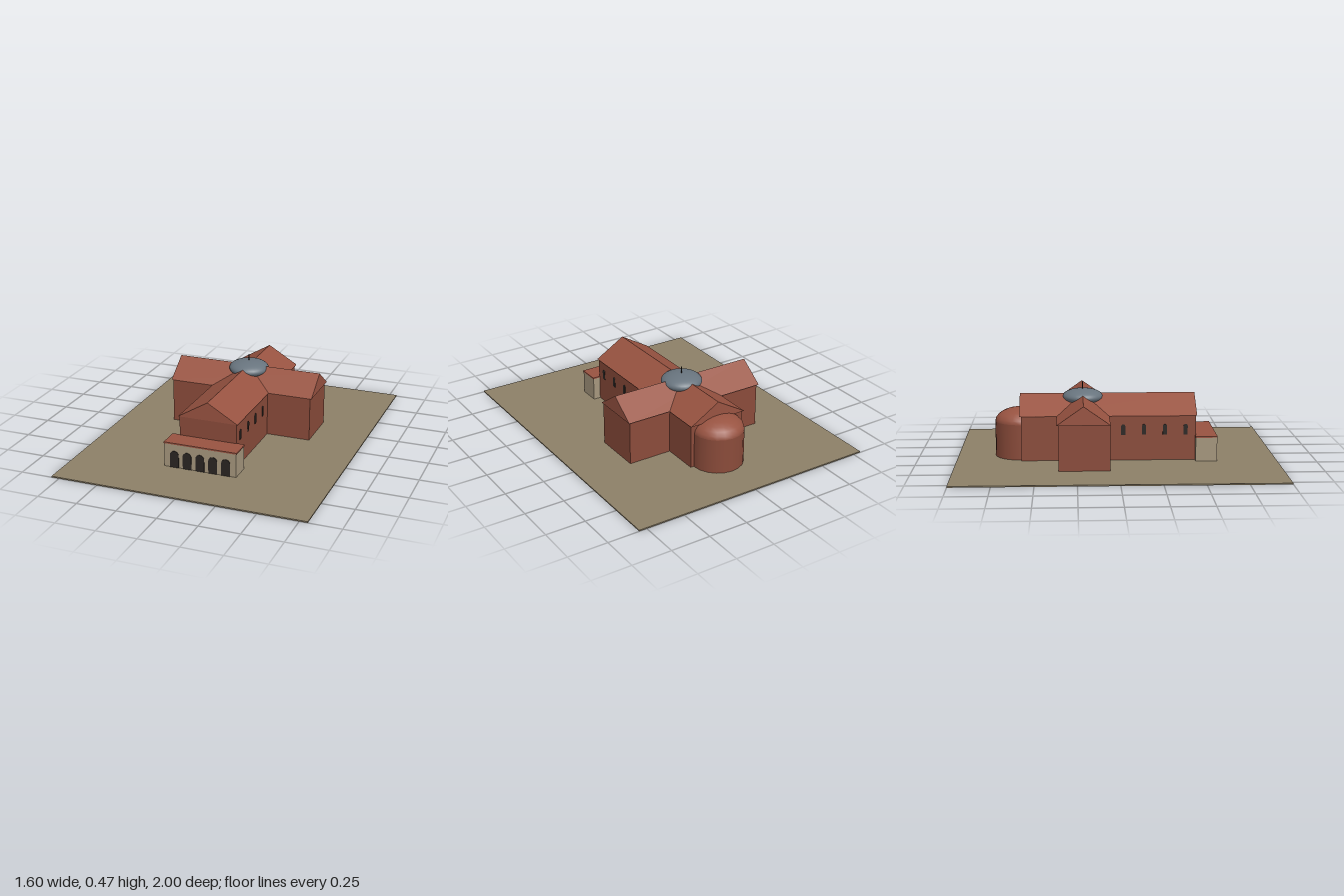
import * as THREE from 'three';

const mat = (color, extra = {}) => new THREE.MeshStandardMaterial({ color, ...extra });

export function createModel() {
  const model = new THREE.Group();
  const brick = mat(0x8a4b3a), tile = mat(0x985341), stone = mat(0xa5967d);
  const earth = mat(0x8c7f67), lead = mat(0x68747e), dark = mat(0x2a2522);

  const add = (name, geometry, material, x = 0, y = 0, z = 0, parent = model) => {
    const mesh = new THREE.Mesh(geometry, material);
    mesh.name = name;
    mesh.position.set(x, y, z);
    parent.add(mesh);
    return mesh;
  };
  // Box given by its base height and top height
  const block = (name, material, w, d, y0, y1, x, z) =>
    add(name, new THREE.BoxGeometry(w, y1 - y0, d), material, x, (y0 + y1) / 2, z);

  // Solid gable roof with its ridge along z
  const gable = (halfWidth, rise, length) => {
    const s = new THREE.Shape();
    s.moveTo(-halfWidth, 0);
    s.lineTo(halfWidth, 0);
    s.lineTo(0, rise);
    s.closePath();
    return new THREE.ExtrudeGeometry(s, { depth: length, bevelEnabled: false })
      .translate(0, 0, -length / 2);
  };

  // Round-headed panel standing on y = 0
  const arch = (w, h, depth) => {
    const r = w / 2, s = new THREE.Shape();
    s.moveTo(-r, 0);
    s.lineTo(r, 0);
    s.lineTo(r, h - r);
    s.absarc(0, h - r, r, 0, Math.PI, false);
    s.closePath();
    return new THREE.ExtrudeGeometry(s, { depth, bevelEnabled: false, curveSegments: 10 })
      .translate(0, 0, -depth / 2);
  };

  const crossingZ = -0.21;
  block('ground', earth, 1.6, 2, 0, 0.008, 0, 0);

  // Nave and transept
  block('naveWalls', brick, 0.37, 1.09, 0.004, 0.288, 0, -0.05);
  block('transeptWalls', brick, 0.936, 0.312, 0.004, 0.29, 0, crossingZ + 0.004);
  add('naveRoof', gable(0.193, 0.115, 1.108), tile, 0, 0.29, -0.053);
  add('transeptRoof', gable(0.163, 0.115, 0.956), tile, 0, 0.29, crossingZ).rotation.y = Math.PI / 2;

  // Apse: round wall and a shallow half dome against the back of the nave
  const apse = new THREE.Group();
  apse.name = 'apse';
  apse.position.z = -0.602;
  model.add(apse);
  add('apseWall', new THREE.CylinderGeometry(0.163, 0.163, 0.226, 20, 1, true), brick, 0, 0.117, 0, apse);
  const apseDome = new THREE.SphereGeometry(0.163, 20, 6, 0, Math.PI * 2, 0, Math.PI / 2);
  add('apseRoof', apseDome, tile, 0, 0.23, 0, apse).scale.y = 0.54;

  // Flattened dome and finial over the crossing
  add('dome', new THREE.SphereGeometry(0.128, 32, 20), lead, 0, 0.384, crossingZ).scale.y = 0.39;
  add('finial', new THREE.CylinderGeometry(0.003, 0.003, 0.05, 8), dark, 0, 0.45, crossingZ);

  // Entrance portico with five arches
  block('porticoWalls', stone, 0.464, 0.134, 0.004, 0.157, 0, 0.557);
  block('porticoRoof', tile, 0.47, 0.136, 0.157, 0.166, 0, 0.557);
  for (let i = -2; i <= 2; i++) add('porticoArch', arch(0.056, 0.108, 0.006), dark, i * 0.083, 0.007, 0.625);

  // Nave windows on both sides
  for (const side of [-1, 1])
    for (const z of [0.43, 0.3, 0.17, 0.04])
      add('naveWindow', arch(0.026, 0.066, 0.006), dark, side * 0.185, 0.17, z).rotation.y = Math.PI / 2;

  return model;
}
